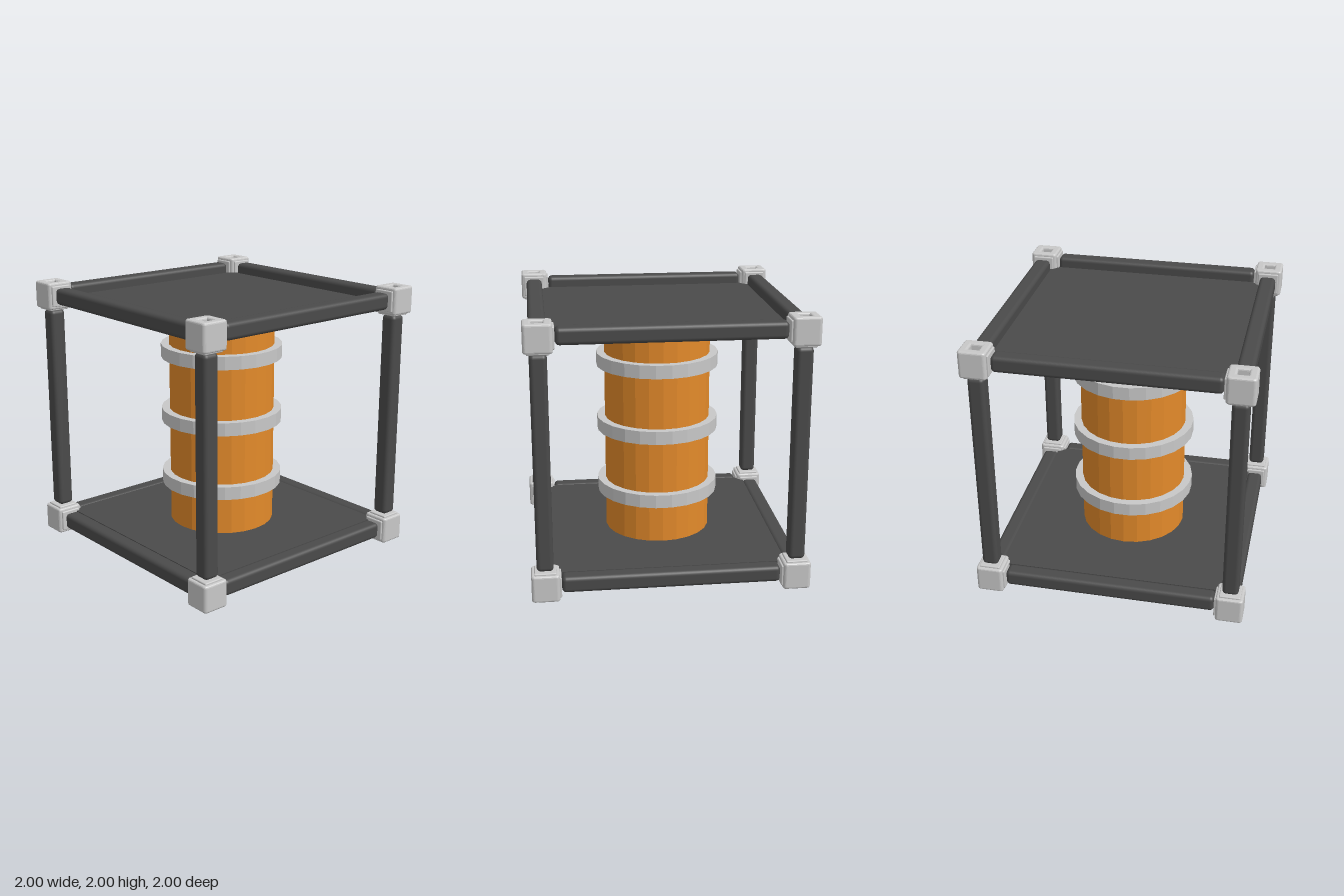
import * as THREE from 'three';
import { RoundedBoxGeometry } from 'three/addons/geometries/RoundedBoxGeometry.js';

export function createModel() {
  const model = new THREE.Group();
  const material = (name, color) => {
    const m = new THREE.MeshStandardMaterial({ color });
    m.name = name;
    return m;
  };
  const dark = material('dark grey', 0x4a4a4a);
  const grey = material('light grey', 0xc8c8c8);
  const orange = material('orange', 0xe38a2a);

  const add = (parent, name, geometry, mat, x = 0, y = 0, z = 0) => {
    const mesh = new THREE.Mesh(geometry, mat);
    mesh.name = name;
    mesh.position.set(x, y, z);
    parent.add(mesh);
    return mesh;
  };
  const faceted = (r, h) => {
    const g = new THREE.CylinderGeometry(r, r, h, 24).toNonIndexed();
    g.computeVertexNormals();
    return g;
  };

  // Core drum with three bands
  add(model, 'drum', faceted(0.4, 1.7), orange, 0, 1, 0);
  const band = faceted(0.46, 0.1).rotateY(Math.PI / 24);
  for (const y of [0.5, 1, 1.5]) add(model, 'band', band, grey, 0, y, 0);

  // Thin floor and roof panels, level with the inner sides of the bars
  const panel = new THREE.BoxGeometry(1.69, 0.04, 1.69);
  for (const y of [0.137, 1.863]) add(model, 'panel', panel, dark, 0, y, 0);

  // Twelve frame bars
  const bar = new RoundedBoxGeometry(0.12, 1.57, 0.12, 3, 0.03);
  for (const a of [-0.9, 0.9]) {
    for (const b of [-0.9, 0.9]) {
      add(model, 'post', bar, dark, a, 1, b);
      const y = 1.003 + a;
      add(model, 'crossBar', bar, dark, 0, y, b).rotation.z = Math.PI / 2;
      add(model, 'sideBar', bar, dark, b, y, 0).rotation.x = Math.PI / 2;
    }
  }

  // Corner block: rounded square sleeve with an open square socket
  const s = 0.085, r = 0.01, h = 0.053;
  const rim = new THREE.Shape();
  rim.absarc(s - r, s - r, r, 0, Math.PI / 2);
  rim.absarc(r - s, s - r, r, Math.PI / 2, Math.PI);
  rim.absarc(r - s, r - s, r, Math.PI, Math.PI * 1.5);
  rim.absarc(s - r, r - s, r, Math.PI * 1.5, Math.PI * 2);
  rim.holes.push(new THREE.Path([[-h, -h], [-h, h], [h, h], [h, -h]].map((p) => new THREE.Vector2(...p))));
  const sleeve = new THREE.ExtrudeGeometry(rim, {
    depth: 0.17, bevelThickness: 0.015, bevelSize: 0.015, bevelOffset: 0, bevelSegments: 3, curveSegments: 3,
  }).rotateX(-Math.PI / 2).translate(0, -0.085, 0);
  const collar = new RoundedBoxGeometry(0.155, 0.04, 0.155, 2, 0.008);
  const socketFloor = new THREE.BoxGeometry(0.11, 0.01, 0.11);

  for (const x of [-1, 1]) for (const z of [-1, 1]) for (const top of [-1, 1]) {
    const corner = new THREE.Group();
    corner.name = 'cornerBlock';
    corner.position.set(x * 0.9, 1 + top * 0.9, z * 0.9);
    if (top < 0) corner.rotation.x = Math.PI;
    add(corner, 'socket', sleeve, grey);
    add(corner, 'socketFloor', socketFloor, dark, 0, 0.032, 0);
    // Collars where the bars enter
    add(corner, 'collarDown', collar, grey, 0, -0.093, 0);
    add(corner, 'collarAcross', collar, grey, -x * 0.093, 0, 0).rotation.z = Math.PI / 2;
    add(corner, 'collarDeep', collar, grey, 0, 0, -z * top * 0.093).rotation.x = Math.PI / 2;
    model.add(corner);
  }
  return model;
}
